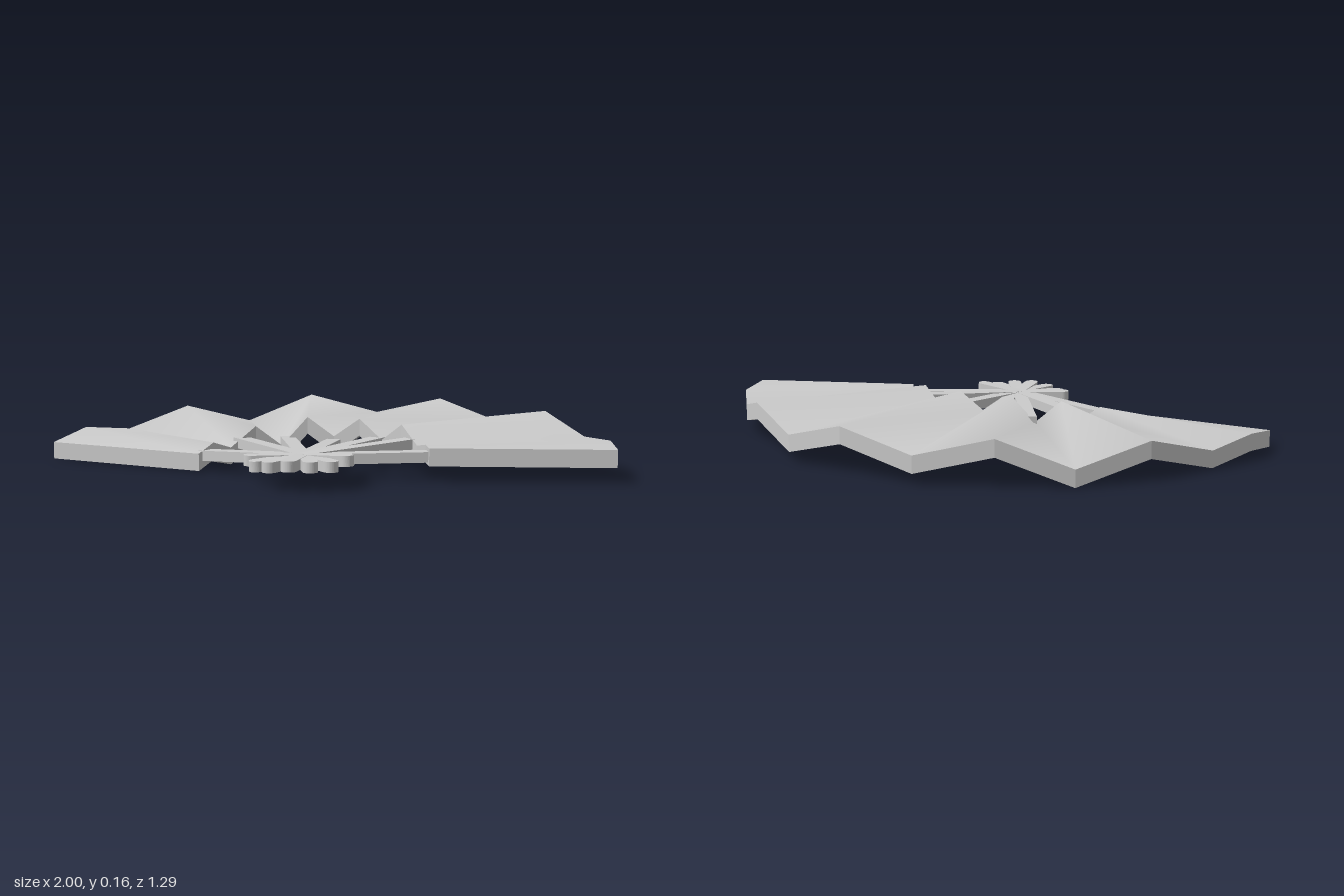
import * as THREE from 'three';
import { mergeGeometries } from 'three/addons/utils/BufferGeometryUtils.js';

const grey = new THREE.MeshStandardMaterial({ color: 0xcccccc });

// Quad strip between two rails of points; facets are either smooth or flat.
function strip(a, b, smooth) {
  const index = [], n = a.length;
  for (let i = 0; i < n - 1; i++) index.push(i, i + 1, n + i + 1, i, n + i + 1, n + i);
  let g = new THREE.BufferGeometry().setFromPoints([...a, ...b]);
  g.setIndex(index);
  if (smooth) {
    g.computeVertexNormals();
    return g.toNonIndexed();
  }
  g = g.toNonIndexed();
  g.computeVertexNormals();
  return g;
}

// Pleated leaf: thick folded sheet swept around the pivot.
function makeLeaf() {
  const pivotZ = 0.43, thick = 0.06;
  // Outer fold points from the middle to one end: x, z
  const half = [[0, -0.645], [0.265, -0.61], [0.5, -0.515], [0.705, -0.355],
    [0.865, -0.145], [0.965, 0.03], [1, 0.23]];
  // Underside height of each fold, left end to right end
  const heights = [0.005, 0.034, 0.008, 0.076, 0.003, 0.104, 0.037,
    0.104, 0.036, 0.1, 0.04, 0.055, 0.055];
  const outer = [...half.slice(1).reverse().map(([x, z]) => [-x, z]), ...half];
  const it = [], ib = [], ot = [], ob = [];
  outer.forEach(([x, z], i) => {
    const a = Math.atan2(x, pivotZ - z);
    const r = 0.38 + 0.028 * Math.abs(i - 6) / 6;
    const ix = r * Math.sin(a), iz = pivotZ - r * Math.cos(a), y = heights[i];
    ib.push(new THREE.Vector3(ix, y, iz));
    it.push(new THREE.Vector3(ix, y + thick, iz));
    ob.push(new THREE.Vector3(x, y, z));
    ot.push(new THREE.Vector3(x, y + thick, z));
  });
  const e = outer.length - 1;
  const geometry = mergeGeometries([
    strip(it, ot, true),
    strip(ob, ib, true),
    strip(ib, it, false),
    strip(ot, ob, false),
    strip([ob[0], ib[0]], [ot[0], it[0]], false),
    strip([ib[e], ob[e]], [it[e], ot[e]], false),
  ]);
  const leaf = new THREE.Mesh(geometry, grey);
  leaf.name = 'pleatedLeaf';
  return leaf;
}

// Flat stick with a rounded tail behind the pivot.
function ribGeometry() {
  const w = 0.025, depth = 0.035, tail = 0.17, reach = 0.44;
  const s = new THREE.Shape();
  s.moveTo(w, reach);
  s.lineTo(-w, reach);
  s.lineTo(-w, -tail);
  s.absarc(0, -tail, w, Math.PI, Math.PI * 2, false);
  s.lineTo(w, reach);
  const g = new THREE.ExtrudeGeometry(s, { depth, bevelEnabled: false, curveSegments: 10 });
  g.translate(0, 0, -depth / 2);
  g.rotateX(-Math.PI / 2);
  return g;
}

export function createModel() {
  const group = new THREE.Group();
  group.name = 'foldingFan';
  group.add(makeLeaf());

  // Ribs fan out from the pivot, each tilted to meet its pleat.
  const ribs = new THREE.Group();
  ribs.name = 'ribs';
  const geometry = ribGeometry();
  const pivotY = 0.08;
  const ends = [0.056, 0.08, 0.074, 0.07, 0.086, 0.1, 0.082];
  ends.forEach((y, i) => {
    const rib = new THREE.Mesh(geometry, grey);
    rib.name = `rib${i + 1}`;
    rib.position.set(0, pivotY, 0.45);
    rib.rotation.order = 'YXZ';
    rib.rotation.y = -THREE.MathUtils.degToRad((i - 3) * 23.3);
    rib.rotation.x = Math.atan2(y - pivotY, 0.4);
    ribs.add(rib);
  });
  group.add(ribs);
  group.position.y = -0.003;
  return group;
}
